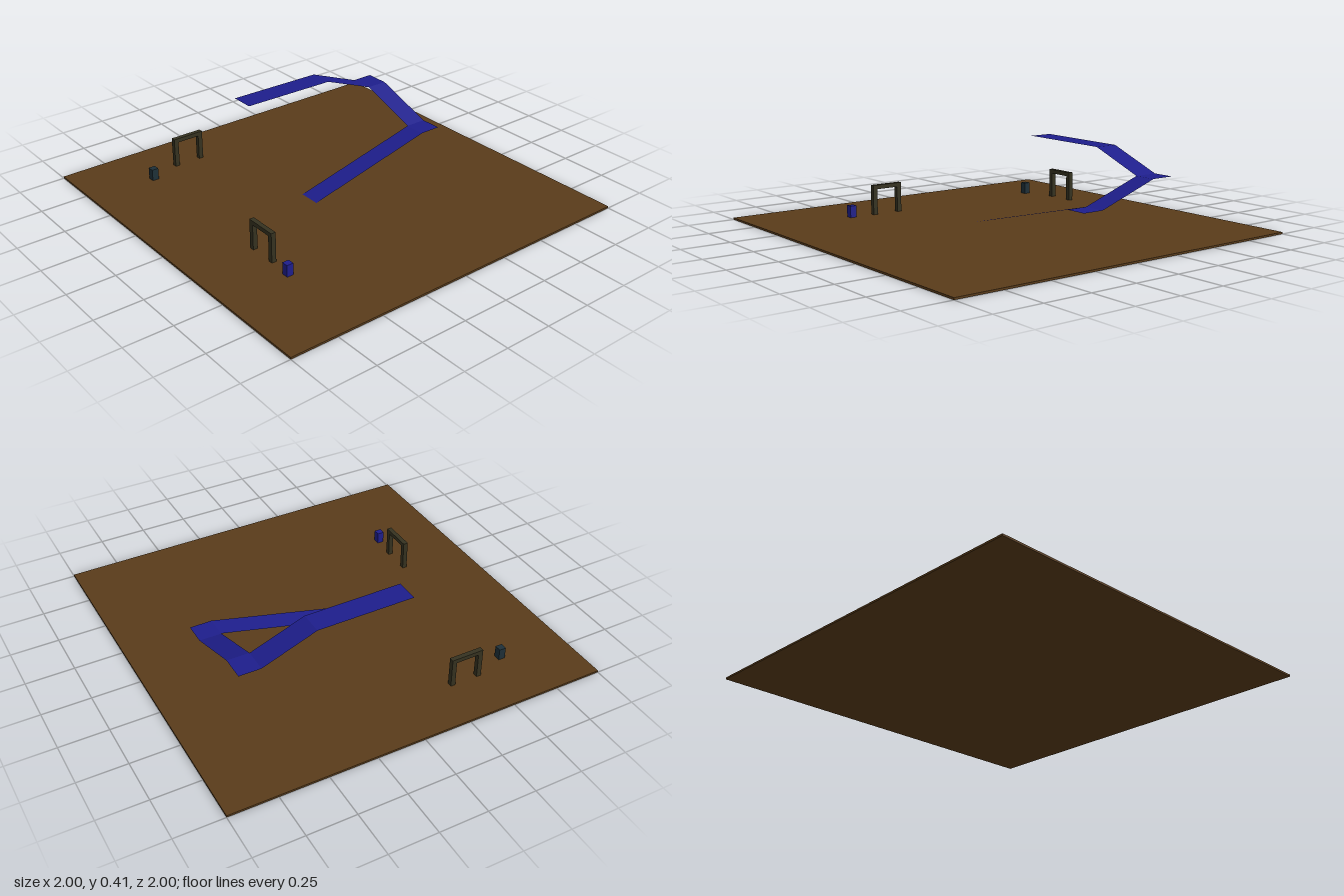
import * as THREE from 'three';

const paint = (color, side = THREE.FrontSide) =>
  new THREE.MeshStandardMaterial({ color, side, flatShading: true });

const GROUND = 0.01; // top of the ground slab

// Box standing on height y
function block(name, w, h, d, x, y, z, material) {
  const mesh = new THREE.Mesh(new THREE.BoxGeometry(w, h, d), material);
  mesh.name = name;
  mesh.position.set(x, y + h / 2, z);
  return mesh;
}

// Thin sheet spanning two edges, each edge given by its two end points
function sheet(name, a, b, c, d, material) {
  const geometry = new THREE.BufferGeometry();
  geometry.setAttribute('position', new THREE.Float32BufferAttribute([...a, ...b, ...c, ...d], 3));
  geometry.setIndex([0, 1, 2, 0, 2, 3]);
  geometry.computeVertexNormals();
  const mesh = new THREE.Mesh(geometry, material);
  mesh.name = name;
  return mesh;
}

// Sheet running along x between two (x, y) points, z0 to z1 wide
const alongX = (name, [xa, ya], [xb, yb], z0, z1, m) =>
  sheet(name, [xa, ya, z1], [xb, yb, z1], [xb, yb, z0], [xa, ya, z0], m);

// Open arch of two posts and a lintel
function arch(name, x, z, turn, material) {
  const group = new THREE.Group();
  group.name = name;
  const width = 0.174, height = 0.158, post = 0.025, depth = 0.025, bar = 0.022;
  for (const s of [-1, 1]) {
    group.add(block('post', post, height - bar, depth, s * (width - post) / 2, 0, 0, material));
  }
  group.add(block('lintel', width, bar, depth, 0, height - bar, 0, material));
  group.position.set(x, GROUND, z);
  group.rotation.y = turn;
  return group;
}

export function createModel() {
  const model = new THREE.Group();
  model.name = 'rampCourse';
  const blue = paint(0x1e1e8c);
  const blueSheet = paint(0x1e1e8c, THREE.DoubleSide);
  const wood = paint(0x353220);

  // Ground
  model.add(block('ground', 2, GROUND, 2, 0, 0, 0, paint(0x5a3c1a)));

  // Winding walkway
  const x0 = 0.588, x1 = 0.704;          // landing width
  const front = [-0.06, 0.056], back = [-0.515, -0.388];
  const low = 0.185, high = 0.3;
  const walkway = new THREE.Group();
  walkway.name = 'walkway';
  walkway.add(
    alongX('lowerRamp', [-0.13, GROUND], [x0, low], ...front, blueSheet),
    alongX('lowerLanding', [x0, low], [x1, low], ...front, blueSheet),
    sheet('middleRamp', [x0, low, front[0]], [x1, low, front[0]],
      [x1, high, back[1]], [x0, high, back[1]], blueSheet),
    alongX('upperLanding', [x0, high], [x1, high], ...back, blueSheet),
    alongX('upperRamp', [0.3, 0.411], [x0, high], ...back, blueSheet),
    alongX('topDeck', [-0.22, 0.415], [0.3, 0.411], ...back, blueSheet),
  );
  model.add(walkway);

  // Arches and small blocks
  model.add(
    arch('backArch', -0.387, -0.742, 0, wood),
    arch('sideArch', -0.627, 0.287, Math.PI / 2, wood),
    block('blueBlock', 0.036, 0.062, 0.036, -0.637, GROUND, 0.495, blue),
    block('darkBlock', 0.036, 0.062, 0.036, -0.637, GROUND, -0.683, paint(0x1e3038)),
  );
  return model;
}
